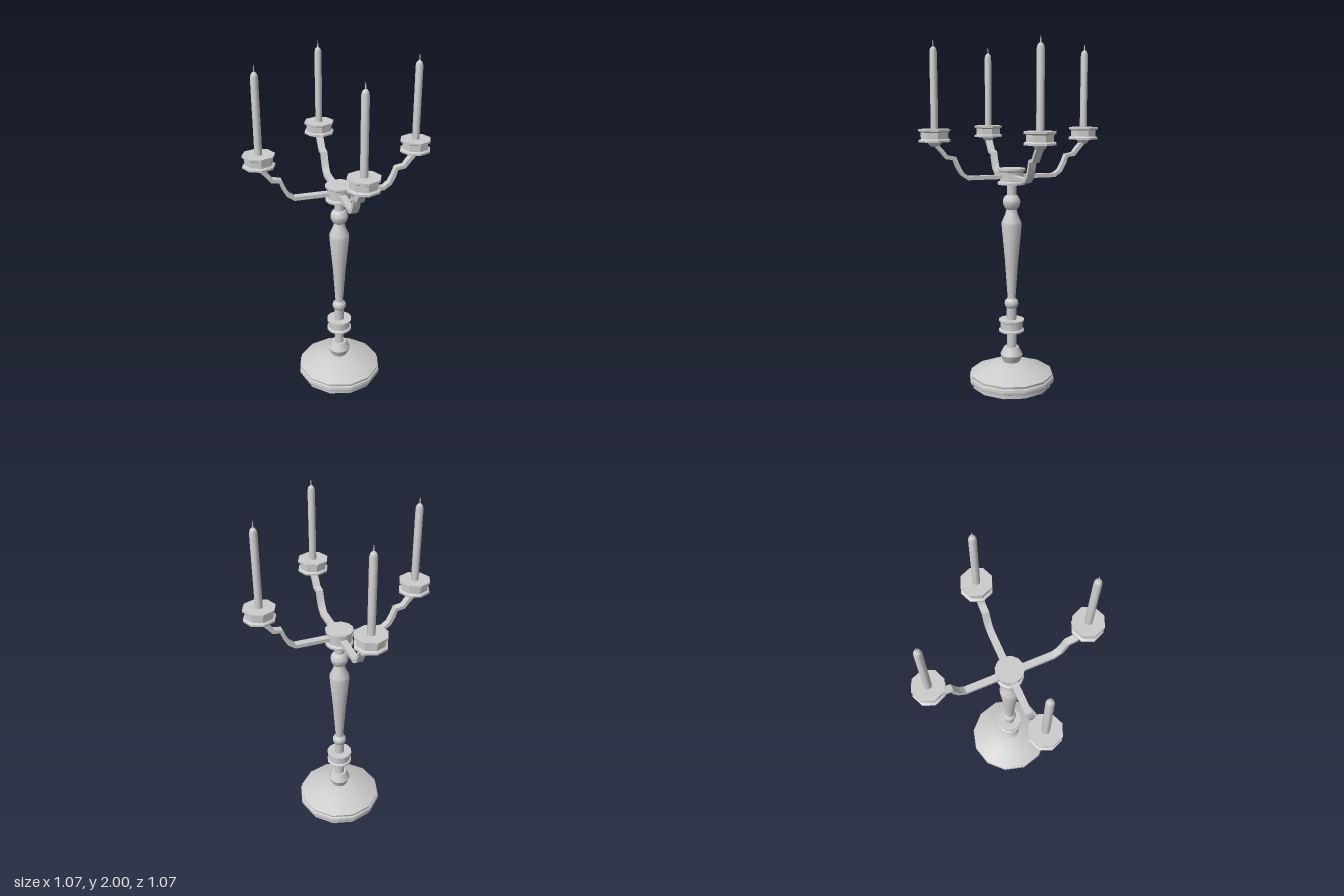
import * as THREE from 'three';
import { toCreasedNormals } from 'three/addons/utils/BufferGeometryUtils.js';

const material = new THREE.MeshStandardMaterial({ color: 0xcccccc });

function addMesh(parent, name, geometry) {
  const mesh = new THREE.Mesh(toCreasedNormals(geometry, 0.6), material);
  mesh.name = name;
  parent.add(mesh);
  return mesh;
}

// Turned part from [radius, height] pairs, listed bottom to top
function turned(parent, name, profile, sides) {
  const points = profile.map(([r, y]) => new THREE.Vector2(r, y));
  return addMesh(parent, name, new THREE.LatheGeometry(points, sides));
}

// Spool: two flanges with a narrower waist between them
function spool(bottom, top, flange, waist, lip) {
  return [
    [0, bottom], [flange, bottom], [flange, bottom + lip], [waist, bottom + lip * 1.6],
    [waist, top - lip * 1.6], [flange, top - lip], [flange, top], [0, top],
  ];
}

// Flat bar of constant thickness following a path in the x-y plane
function barGeometry(path, thickness, width) {
  const pts = path.map(([x, y]) => new THREE.Vector2(x, y));
  const upper = [], lower = [];
  pts.forEach((p, i) => {
    const before = pts[Math.max(i - 1, 0)], after = pts[Math.min(i + 1, pts.length - 1)];
    const d = after.clone().sub(before).normalize().multiplyScalar(thickness / 2);
    upper.push(new THREE.Vector2(p.x - d.y, p.y + d.x));
    lower.push(new THREE.Vector2(p.x + d.y, p.y - d.x));
  });
  const shape = new THREE.Shape([...lower, ...upper.reverse()]);
  const geometry = new THREE.ExtrudeGeometry(shape, { depth: width, bevelEnabled: false });
  return geometry.translate(0, 0, -width / 2);
}

function createBranch() {
  const branch = new THREE.Group();
  branch.name = 'branch';
  const reach = 0.445;

  // Stepped arm rising from the hub to the cup
  addMesh(branch, 'arm', barGeometry([
    [0.05, 1.25], [0.26, 1.25], [0.297, 1.277], [0.32, 1.32], [0.335, 1.362],
    [0.382, 1.37], [0.405, 1.4], [0.437, 1.435], [0.445, 1.45],
  ], 0.022, 0.04));

  const holder = new THREE.Group();
  holder.name = 'candleHolder';
  holder.position.x = reach;
  branch.add(holder);
  turned(holder, 'cupNeck', [[0, 1.43], [0.022, 1.43], [0.032, 1.44], [0.045, 1.46], [0, 1.46]], 8);
  turned(holder, 'cup', spool(1.455, 1.525, 0.09, 0.077, 0.011), 8);
  turned(holder, 'candle', [
    [0, 1.52], [0.021, 1.52], [0.021, 1.935], [0.017, 1.952], [0.009, 1.962], [0, 1.965],
  ], 12);
  turned(holder, 'wick', [[0.004, 1.96], [0.003, 1.985], [0, 2]], 6);
  return branch;
}

export function createModel() {
  const model = new THREE.Group();
  model.name = 'candelabrum';

  // Stepped, domed foot
  turned(model, 'base', [
    [0, 0], [0.238, 0], [0.238, 0.02], [0.253, 0.027], [0.257, 0.042], [0.253, 0.056],
    [0.245, 0.06], [0.248, 0.075], [0.238, 0.08], [0.19, 0.1], [0.14, 0.12], [0.09, 0.136],
    [0.05, 0.142], [0, 0.142],
  ], 12);

  // Lower knob and plain stem
  turned(model, 'lowerKnob', [
    [0, 0.135], [0.046, 0.135], [0.056, 0.155], [0.067, 0.185], [0.055, 0.21], [0.044, 0.232], [0, 0.232],
  ], 12);
  turned(model, 'lowerStem', [[0.029, 0.225], [0.029, 0.49]], 12);
  turned(model, 'collar', spool(0.33, 0.402, 0.076, 0.066, 0.01), 12);

  // Small ring, tapering shaft and upper ball
  turned(model, 'shaft', [
    [0, 0.472], [0.028, 0.472], [0.039, 0.485], [0.042, 0.5], [0.039, 0.515], [0.025, 0.53],
    [0.025, 0.55], [0.04, 0.76], [0.06, 0.975], [0.058, 0.985], [0.038, 1.03], [0.03, 1.06],
    [0.04, 1.068], [0.05, 1.09], [0.052, 1.105], [0.048, 1.122], [0.038, 1.138], [0.028, 1.143],
    [0.028, 1.21],
  ], 12);

  // Hub carrying the four branches
  turned(model, 'hub', spool(1.205, 1.297, 0.081, 0.069, 0.012), 12);
  for (let i = 0; i < 4; i++) {
    const branch = createBranch();
    branch.rotation.y = (i * Math.PI) / 2;
    model.add(branch);
  }
  return model;
}
